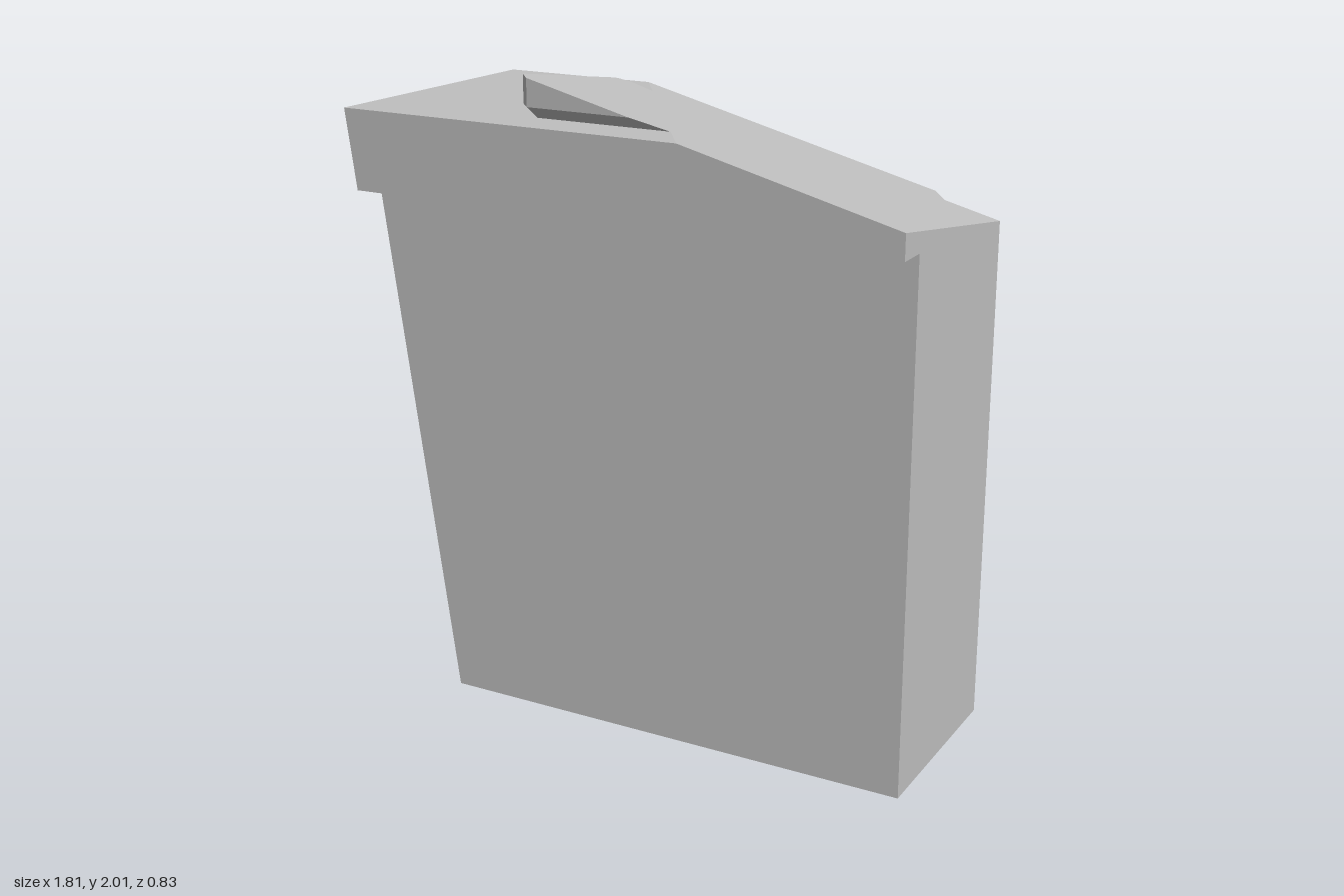
import * as THREE from 'three';
import { ConvexGeometry } from 'three/addons/geometries/ConvexGeometry.js';

// Heights and half depths shared by the parts
const TOP = 1.885, RIM = 1.637, RIGHT = 0.9;
const BODY_Z = 0.313, LID_Z = 0.415;

// Slanted cut that runs across the lid, the body corner and the raised flap
const cutY = (x, z) => RIM - 0.25 * (x - 0.725) + 0.167 * (z + BODY_Z);
const cutX = (y, z) => 0.725 + (RIM - y + 0.167 * (z + BODY_Z)) / 0.25;
const cutZ = (x, y) => -BODY_Z + (y - RIM + 0.25 * (x - 0.725)) / 0.167;

// Leaning left wall
const leftX = (y, z) => -0.638 - 0.1406 * y - 0.072 * (z - BODY_Z);

const onCut = (x, z) => [x, cutY(x, z), z];
const onLeft = (y, z) => [leftX(y, z), y, z];

export function createModel() {
  const group = new THREE.Group();
  const grey = new THREE.MeshStandardMaterial({ color: 0xc0c0c0 });
  grey.name = 'light grey';

  const addPart = (name, points) => {
    const geometry = new ConvexGeometry(points.map((p) => new THREE.Vector3(...p)));
    const mesh = new THREE.Mesh(geometry, grey);
    mesh.name = name;
    group.add(mesh);
  };

  // Rim outline below the cut, used by both the body top and the lid bottom
  const rimRing = (z) => [
    onLeft(RIM, z), onLeft(RIM, -z), [RIGHT, RIM, z],
    [RIGHT, RIM, cutZ(RIGHT, RIM)], [cutX(RIM, -z), RIM, -z],
  ];

  // Tall body with one leaning wall and a clipped back corner
  addPart('body', [
    onLeft(0, BODY_Z), onLeft(0, -BODY_Z), [RIGHT, 0, BODY_Z], [RIGHT, 0, -BODY_Z],
    ...rimRing(BODY_Z), onCut(RIGHT, -BODY_Z),
  ]);

  // Overhanging lid, flat on the left and sloped on the right
  addPart('lid', [
    ...rimRing(LID_Z), onCut(RIGHT, LID_Z),
    ...[LID_Z, -LID_Z].flatMap((z) => [onLeft(TOP, z), [cutX(TOP, z), TOP, z]]),
  ]);

  // Raised flap that continues the slope, with clipped corners and a chamfered foot
  const lip = 1.92;
  addPart('flap', [
    onCut(-0.37, 0.265), onCut(-0.33, 0.31), [cutX(lip, 0.31), lip, 0.31],
    [-0.37, lip, cutZ(-0.37, lip)], onCut(-0.365, -0.275), onCut(-0.33, -0.297), onCut(-0.305, -0.29),
    [-0.37, lip, 0.265], [-0.33, lip, 0.31],
    [-0.335, TOP, 0.25], [-0.315, TOP, 0.277], [cutX(TOP, 0.277), TOP, 0.277],
    [-0.335, TOP, -0.25], [-0.315, TOP, -0.275], [cutX(TOP, -0.275), TOP, -0.275],
  ]);

  return group;
}
